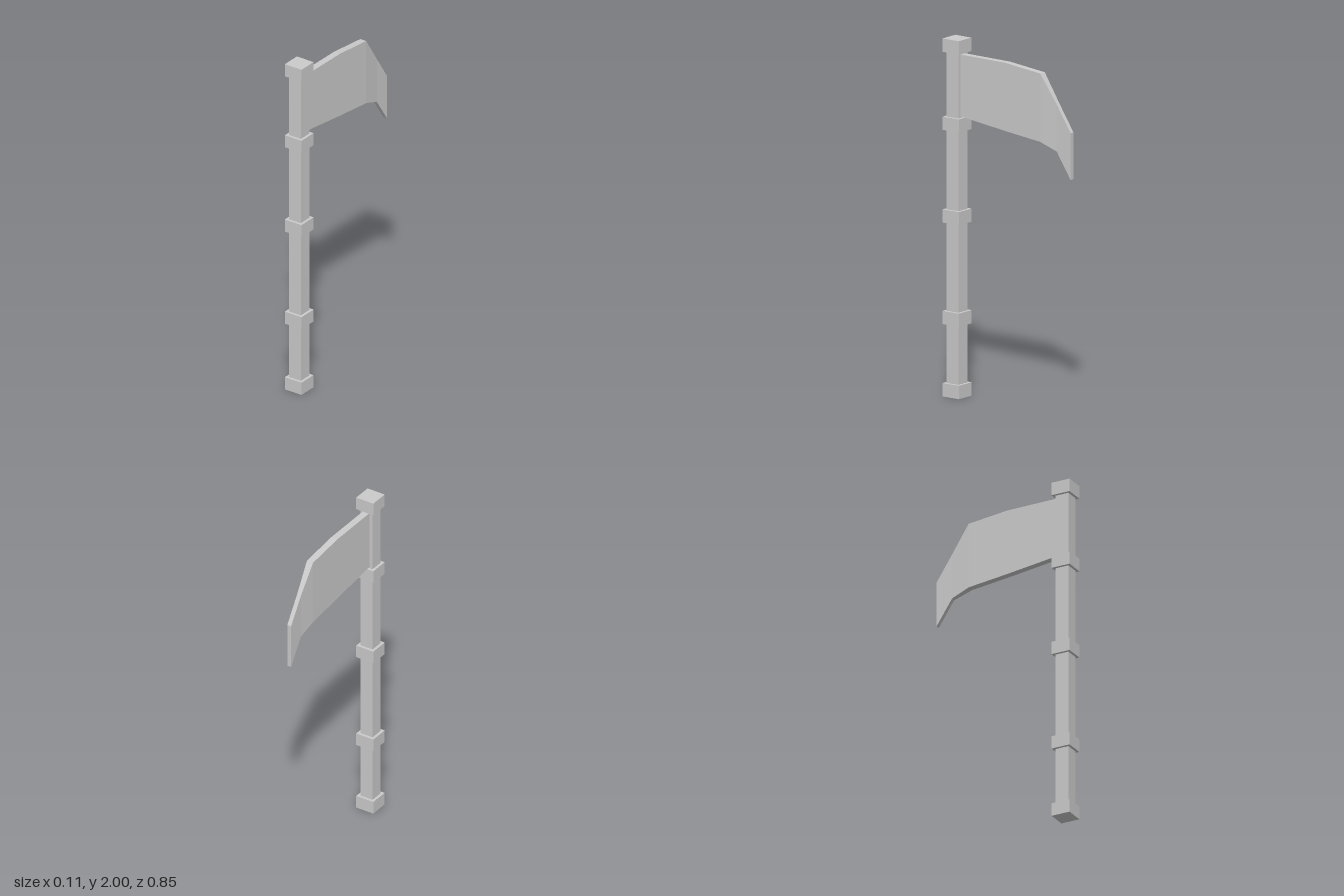
import * as THREE from 'three';

const material = new THREE.MeshStandardMaterial({ color: 0xcccccc, flatShading: true });
const HANDLE_Z = 0.37;

function addBox(group, name, width, height, y) {
  const mesh = new THREE.Mesh(new THREE.BoxGeometry(width, height, width), material);
  mesh.name = name;
  mesh.position.set(0, y, HANDLE_Z);
  group.add(mesh);
}

// Blade: a box split along z, each slice fitted to its own cross-section
function createBlade() {
  // z, half thickness, top y, bottom y
  const sections = [
    [0.333, 0.02, 1.917, 1.572],
    [0.02, 0.02, 1.915, 1.534],
    [-0.222, 0.02, 1.89, 1.508],
    [-0.33, 0.0125, 1.731, 1.468],
    [-0.426, 0.0125, 1.585, 1.323],
  ];
  const steps = sections.length - 1;
  const box = new THREE.BoxGeometry(1, 1, 1, 1, 1, steps);
  const pos = box.attributes.position;
  for (let i = 0; i < pos.count; i++) {
    const [z, half, top, bottom] = sections[Math.round((0.5 - pos.getZ(i)) * steps)];
    pos.setXYZ(i, Math.sign(pos.getX(i)) * half, pos.getY(i) > 0 ? top : bottom, z);
  }
  const geometry = box.toNonIndexed();
  geometry.computeVertexNormals();
  const blade = new THREE.Mesh(geometry, material);
  blade.name = 'blade';
  return blade;
}

export function createModel() {
  const model = new THREE.Group();
  model.name = 'axe';

  // Square shaft with end caps and grip bands
  addBox(model, 'shaft', 0.08, 1.94, 1);
  addBox(model, 'bottomCap', 0.112, 0.075, 0.0375);
  addBox(model, 'topCap', 0.112, 0.075, 1.9625);
  [0.441, 1.008, 1.526].forEach((y, i) => addBox(model, `band${i + 1}`, 0.112, 0.074, y));

  model.add(createBlade());
  return model;
}
